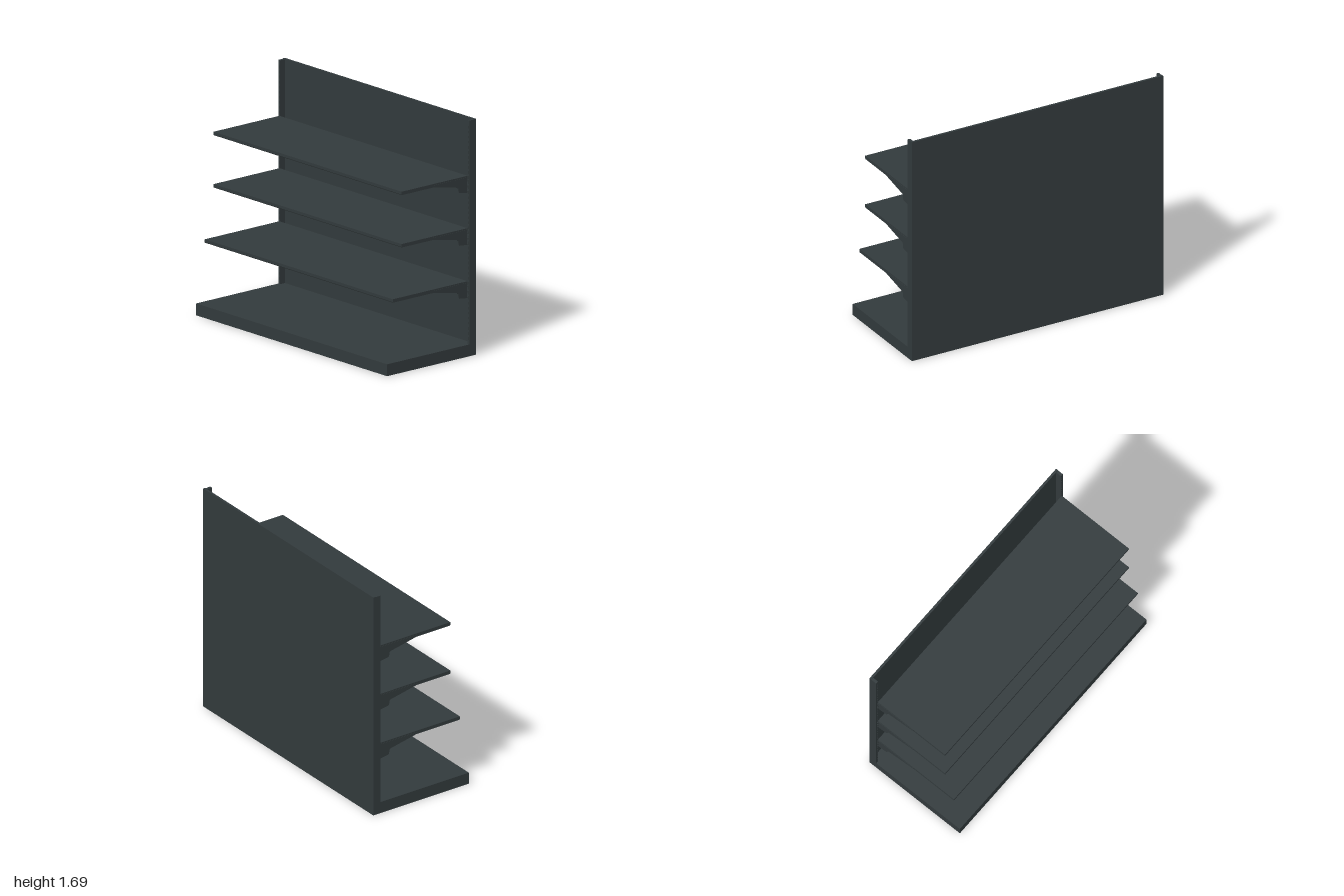
import * as THREE from 'three';

const material = new THREE.MeshStandardMaterial({ color: 0x323a3c });

// Box given by its min and max corners
function box(parent, name, [x0, y0, z0], [x1, y1, z1]) {
  const mesh = new THREE.Mesh(new THREE.BoxGeometry(x1 - x0, y1 - y0, z1 - z0), material);
  mesh.position.set((x0 + x1) / 2, (y0 + y1) / 2, (z0 + z1) / 2);
  mesh.name = name;
  parent.add(mesh);
  return mesh;
}

// Profile of [z, y] points extruded along x, centred on the given x
function sideProfile(parent, name, points, width, x) {
  const shape = new THREE.Shape(points.map(([z, y]) => new THREE.Vector2(-z, y)));
  const geometry = new THREE.ExtrudeGeometry(shape, { depth: width, bevelEnabled: false });
  geometry.translate(0, 0, -width / 2);
  geometry.rotateY(Math.PI / 2);
  const mesh = new THREE.Mesh(geometry, material);
  mesh.position.x = x;
  mesh.name = name;
  parent.add(mesh);
  return mesh;
}

const TOP = 1.69, BACK = -0.405, FRONT = 0.405, BASE = 0.085, POST = -0.345;

// Plinth: thin deck over four walls, open underneath
function createBase() {
  const base = new THREE.Group();
  base.name = 'base';
  const t = 0.012;
  box(base, 'baseDeck', [-1, BASE - t, BACK], [1, BASE, FRONT]);
  box(base, 'baseFront', [-1, 0, FRONT - t], [1, BASE - t, FRONT]);
  box(base, 'baseBack', [-1, 0, BACK], [1, BASE - t, BACK + t]);
  for (const s of [-1, 1]) {
    const x = [s, s * (1 - t)].sort((a, b) => a - b);
    box(base, 'baseSide', [x[0], 0, BACK + t], [x[1], BASE - t, FRONT - t]);
  }
  return base;
}

// Upright channel whose front face has a column of slots
function createUpright(side) {
  const upright = new THREE.Group();
  upright.name = 'upright';
  const w = 0.02, t = 0.004, h = TOP - BASE - 0.003;
  const face = new THREE.Shape([[0, 0], [w, 0], [w, h], [0, h]].map(p => new THREE.Vector2(...p)));
  for (let y = 0.03; y < h - 0.03; y += 0.036) {
    const hole = [[0.007, y], [0.007, y + 0.02], [0.013, y + 0.02], [0.013, y]];
    face.holes.push(new THREE.Path(hole.map(p => new THREE.Vector2(...p))));
  }
  const plate = new THREE.Mesh(
    new THREE.ExtrudeGeometry(face, { depth: t, bevelEnabled: false }), material);
  plate.name = 'slottedFace';
  const x0 = side > 0 ? 1 - w : -1;
  plate.position.set(x0, BASE, POST - t);
  upright.add(plate);
  for (const x of [x0, x0 + w - t]) {
    box(upright, 'uprightWall', [x, BASE, -0.388], [x + t, BASE + h, POST - t]);
  }
  box(upright, 'uprightCap', [x0 + t, BASE + h - t, -0.388], [x0 + w - t, BASE + h, POST - t]);
  return upright;
}

// Shelf tray with turned-down edges, carried by a hooked bracket at each end
function createShelf(top, front) {
  const shelf = new THREE.Group();
  shelf.name = 'shelf';
  const half = 0.985, t = 0.01, lip = 0.025, back = POST + 0.003;
  box(shelf, 'shelfDeck', [-half, -t, back], [half, 0, front]);
  sideProfile(shelf, 'shelfFrontLip',
    [[front, -t], [front - 0.012, -t], [front - 0.012, -lip], [front - 0.003, -lip], [front, -lip + 0.005]].reverse(),
    2 * half, 0);
  box(shelf, 'shelfBackLip', [-half, -lip, back], [half, -t, back + 0.006]);
  for (const s of [-1, 1]) {
    const x = s * (half - 0.003);
    box(shelf, 'shelfSideLip', [x - 0.003, -lip, back + 0.006], [x + 0.003, -t, front - 0.012]);
    // Stepped bracket plate
    sideProfile(shelf, 'bracket', [
      [-0.025, -t], [-0.025, -0.023], [-0.16, -0.05], [-0.25, -0.068],
      [-0.257, -0.075], [-0.262, -0.105], [-0.27, -0.11], [-0.337, -0.12], [-0.337, -t],
    ].reverse(), 0.008, s * (half - 0.002));
    // Hooks into the upright slots
    for (const y of [-0.035, -0.075, -0.113]) {
      box(shelf, 'bracketHook', [s * 0.987 - 0.002, y - 0.006, -0.36], [s * 0.987 + 0.002, y + 0.006, -0.337]);
    }
  }
  shelf.position.y = top;
  return shelf;
}

export function createModel() {
  const model = new THREE.Group();
  model.name = 'shelvingUnit';
  model.add(createBase());
  box(model, 'backPanel', [-1, BASE, BACK], [1, TOP, -0.388]);
  for (const s of [-1, 1]) model.add(createUpright(s));
  for (const [top, front] of [[0.535, 0.34], [0.915, 0.26], [1.29, 0.26]]) {
    model.add(createShelf(top, front));
  }
  return model;
}
